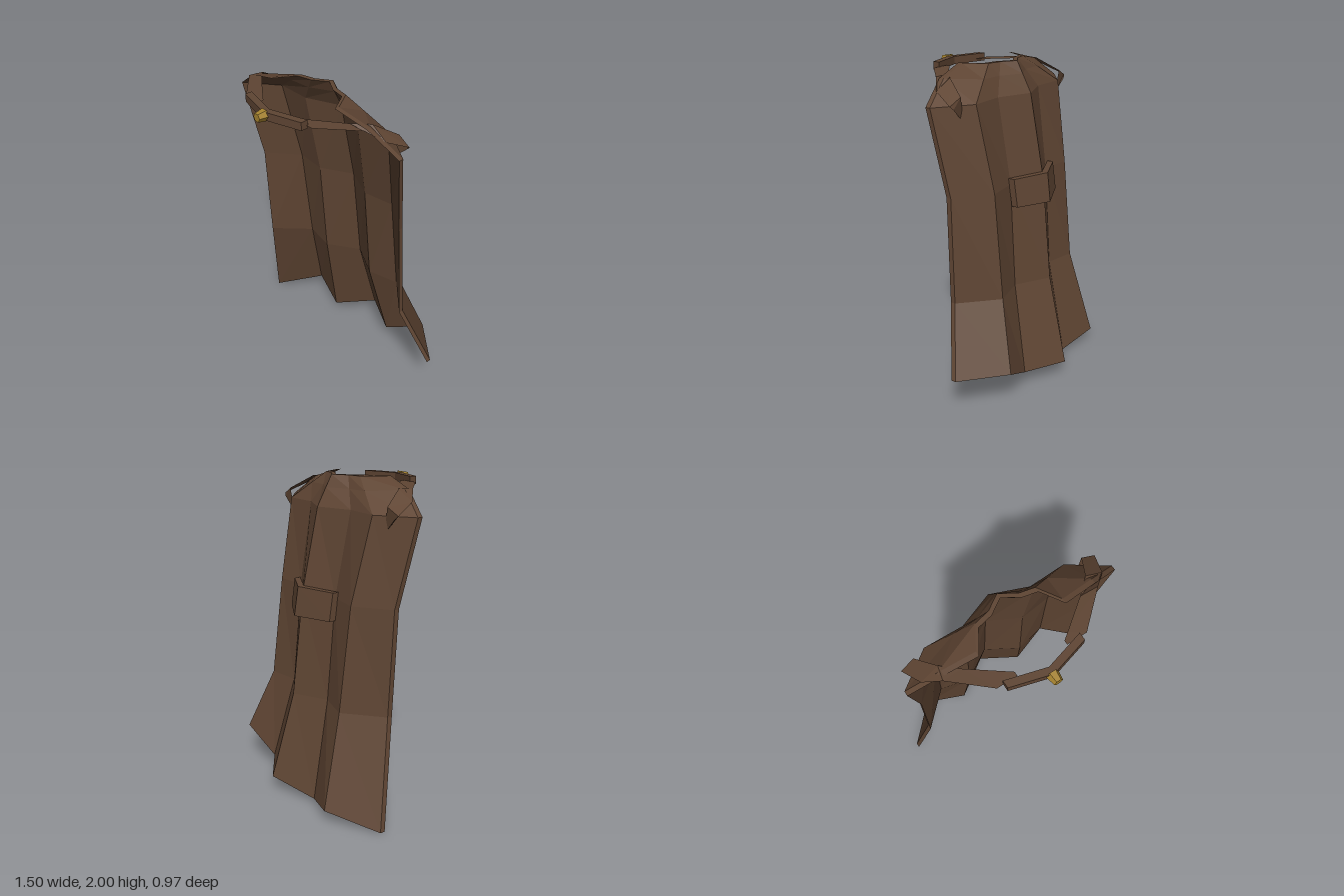
import * as THREE from 'three';

const cloth = new THREE.MeshStandardMaterial({ color: 0x5f4533, flatShading: true, side: THREE.DoubleSide });
const brass = new THREE.MeshStandardMaterial({ color: 0xa5822f, flatShading: true });

// Mesh from a list of quads, each four [x, y, z] corners
function quadMesh(name, quads) {
  const pos = [];
  for (const [a, b, c, d] of quads) pos.push(...a, ...b, ...c, ...a, ...c, ...d);
  const geo = new THREE.BufferGeometry();
  geo.setAttribute('position', new THREE.Float32BufferAttribute(pos, 3));
  geo.computeVertexNormals();
  const mesh = new THREE.Mesh(geo, cloth);
  mesh.name = name;
  return mesh;
}

// Thick sheet: a grid of points (rows upward) with a second layer shifted in z
function shell(name, outer, depth) {
  const inner = outer.map(row => row.map(([x, y, z]) => [x, y, z + depth]));
  const quads = [], R = outer.length - 1, C = outer[0].length - 1;
  for (let r = 0; r < R; r++) for (let c = 0; c < C; c++) {
    quads.push([outer[r][c], outer[r + 1][c], outer[r + 1][c + 1], outer[r][c + 1]]);
    quads.push([inner[r][c], inner[r][c + 1], inner[r + 1][c + 1], inner[r + 1][c]]);
  }
  for (let c = 0; c < C; c++) {
    quads.push([outer[0][c], outer[0][c + 1], inner[0][c + 1], inner[0][c]]);
    quads.push([outer[R][c + 1], outer[R][c], inner[R][c], inner[R][c + 1]]);
  }
  for (let r = 0; r < R; r++) {
    quads.push([outer[r + 1][0], outer[r][0], inner[r][0], inner[r + 1][0]]);
    quads.push([outer[r][C], outer[r + 1][C], inner[r + 1][C], inner[r][C]]);
  }
  return quadMesh(name, quads);
}

export function createModel() {
  const group = new THREE.Group();

  // Pleated cloth: x, y and z of seven fold lines, from ragged hem to neck
  const row = (xs, ys, zs) => xs.map((x, i) => [x, Array.isArray(ys) ? ys[i] : ys, zs[i]]);
  const hem = row([-0.75, -0.5, -0.25, 0, 0.25, 0.5, 0.75],
    [0.005, 0.1, 0.03, 0.12, 0.12, 0.26, 0.265],
    [-0.18, -0.41, -0.33, -0.487, -0.34, -0.4, -0.18]);
  const knee = row([-0.635, -0.43, -0.23, -0.03, 0.18, 0.38, 0.585], 0.67,
    [-0.06, -0.26, -0.215, -0.34, -0.215, -0.26, -0.06]);
  const waist = row([-0.635, -0.44, -0.24, -0.04, 0.16, 0.36, 0.56], 1.31,
    [-0.03, -0.19, -0.165, -0.27, -0.165, -0.19, -0.03]);
  const shoulder = row([-0.7, -0.495, -0.27, -0.05, 0.165, 0.39, 0.605], 1.82,
    [0.06, -0.09, -0.08, -0.165, -0.08, -0.09, 0.06]);
  const neck = row([-0.31, -0.23, -0.14, -0.05, 0.04, 0.13, 0.21], 2,
    [0.14, 0.01, -0.01, -0.068, -0.01, 0.01, 0.14]);
  // Rounded shoulder line: the outer edges bulge, the rest runs straight
  const bulge = shoulder.map((p, i) => p.map((v, k) => v + (neck[i][k] - v) * 0.6));
  bulge[0] = [-0.52, 1.945, 0.11];
  bulge[6] = [0.42, 1.945, 0.11];
  group.add(shell('cape', [hem, knee, waist, shoulder, bulge, neck], 0.03));

  // Bent band across the middle of the back
  group.add(shell('backBand', [
    [[-0.27, 1.18, -0.225], [-0.035, 1.175, -0.325], [0.175, 1.18, -0.225]],
    [[-0.27, 1.35, -0.2], [-0.04, 1.355, -0.3], [0.175, 1.35, -0.2]]
  ], 0.04));

  // Bent bar closing the collar at the front
  const bar = y => [[0.18, y, 0.38], [-0.05, y, 0.445], [-0.28, y, 0.38]];
  group.add(shell('frontClasp', [bar(1.937), bar(1.985)], -0.045));

  // Straps from the clasp over each shoulder, ending in a pointed tail
  const strap = [
    [[-0.2, 1.955, 0.345], [-0.2, 1.955, 0.32]],
    [[-0.32, 1.955, 0.345], [-0.24, 1.955, 0.29]],
    [[-0.52, 1.95, 0.165], [-0.41, 1.95, 0.16]],
    [[-0.61, 1.89, 0.09], [-0.5, 1.95, 0.08]],
    [[-0.66, 1.83, -0.04], [-0.575, 1.87, -0.05]],
    [[-0.64, 1.81, -0.05], [-0.54, 1.72, -0.04]]
  ];
  for (const side of ['right', 'left']) {
    const place = p => side === 'left' ? [-0.1 - p[0], p[1], p[2]] : p;
    const quads = [];
    for (let i = 0; i < strap.length - 1; i++) {
      const q = [strap[i][0], strap[i][1], strap[i + 1][1], strap[i + 1][0]].map(place);
      quads.push(side === 'left' ? q.reverse() : q);
    }
    group.add(quadMesh(side + 'Strap', quads));
  }

  // Six-sided brass stud on the clasp
  const stud = new THREE.Mesh(new THREE.CylinderGeometry(0.026, 0.036, 0.055, 6), brass);
  stud.name = 'stud';
  stud.rotation.set(Math.PI / 2, Math.PI / 6, 0);
  stud.position.set(-0.052, 1.963, 0.4595);
  group.add(stud);

  return group;
}
